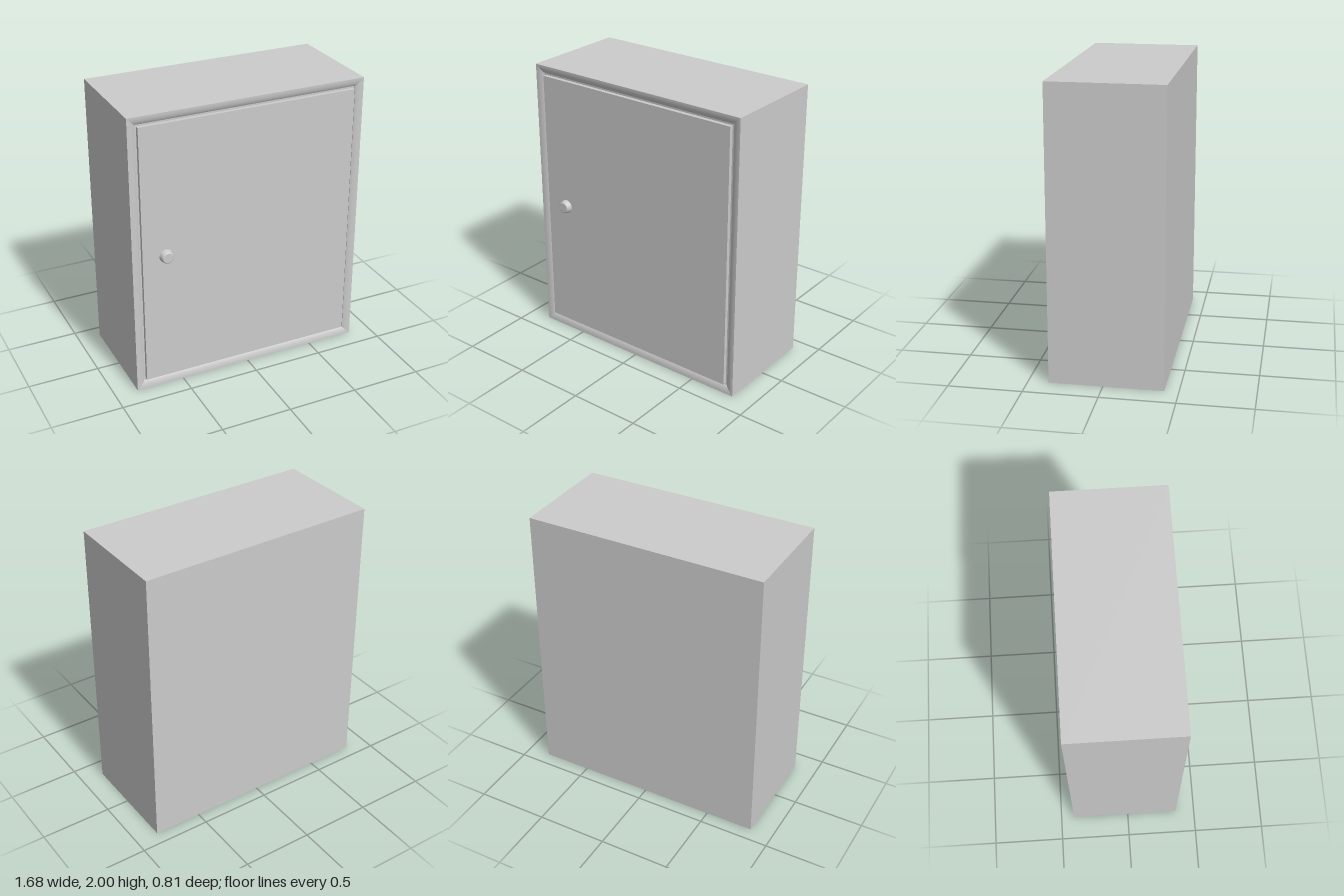
import * as THREE from 'three';
import { mergeGeometries } from 'three/addons/utils/BufferGeometryUtils.js';

const W = 0.84, H = 1, BACK = -0.405, FRONT = 0.362, FLOOR = 0.34;
const material = new THREE.MeshStandardMaterial({ color: 0xcccccc, side: THREE.DoubleSide });

// Mitred rectangular band: sweeps a profile of [inset, z] points round the four sides.
function band(profile) {
  const corners = [[1, -1], [1, 1], [-1, 1], [-1, -1]];
  const sides = corners.map((a, i) => {
    const b = corners[(i + 1) % 4];
    const pos = [], index = [];
    profile.forEach(([inset, z], k) => {
      for (const [sx, sy] of [a, b]) pos.push(sx * (W - inset), H + sy * (H - inset), z);
      if (k > 0) {
        const n = 2 * k;
        index.push(n - 2, n - 1, n, n - 1, n + 1, n);
      }
    });
    const g = new THREE.BufferGeometry();
    g.setAttribute('position', new THREE.Float32BufferAttribute(pos, 3));
    g.setIndex(index);
    g.computeVertexNormals();
    return g;
  });
  return mergeGeometries(sides);
}

export function createModel() {
  const model = new THREE.Group();
  const add = (name, geometry, x = 0, y = 0, z = 0, parent = model) => {
    const mesh = new THREE.Mesh(geometry, material);
    mesh.name = name;
    mesh.position.set(x, y, z);
    parent.add(mesh);
    return mesh;
  };

  // Cabinet shell: four walls and the back panel
  add('cabinetWalls', band([[0, BACK], [0, FRONT]]));
  add('backPanel', new THREE.PlaneGeometry(2 * W, 2 * H), 0, H, BACK).rotation.y = Math.PI;

  // Front frame rolling inward to the door opening
  const roll = [];
  for (let i = 0; i <= 8; i++) {
    const a = (i / 8) * Math.PI * 0.3;
    roll.push([0.055 * Math.sin(a) / Math.sin(Math.PI * 0.3),
      FRONT - 0.015 * (1 - Math.cos(a)) / (1 - Math.cos(Math.PI * 0.3))]);
  }
  add('frontFrame', band(roll));
  add('frameLip', band([[0.055, FRONT - 0.015], [0.055, FLOOR]]));
  add('recessFloor', new THREE.PlaneGeometry(2 * W - 0.11, 2 * H - 0.11), 0, H, FLOOR);

  // Door panel, standing just proud of the frame
  add('door', new THREE.BoxGeometry(1.54, 1.86, 0.028), 0, H, FLOOR + 0.013);

  // Tapered round knob on the door
  const knob = new THREE.Group();
  knob.name = 'knob';
  knob.position.set(-0.605, 1, 0.365);
  knob.rotation.x = Math.PI / 2;
  model.add(knob);
  const profile = [[0.048, 0], [0.046, 0.012], [0.041, 0.033], [0.038, 0.038], [0.033, 0.04]];
  add('knobSide', new THREE.LatheGeometry(profile.map(p => new THREE.Vector2(...p)), 32), 0, 0, 0, knob);
  add('knobFace', new THREE.CircleGeometry(0.033, 32), 0, 0.04, 0, knob).rotation.x = -Math.PI / 2;

  return model;
}
